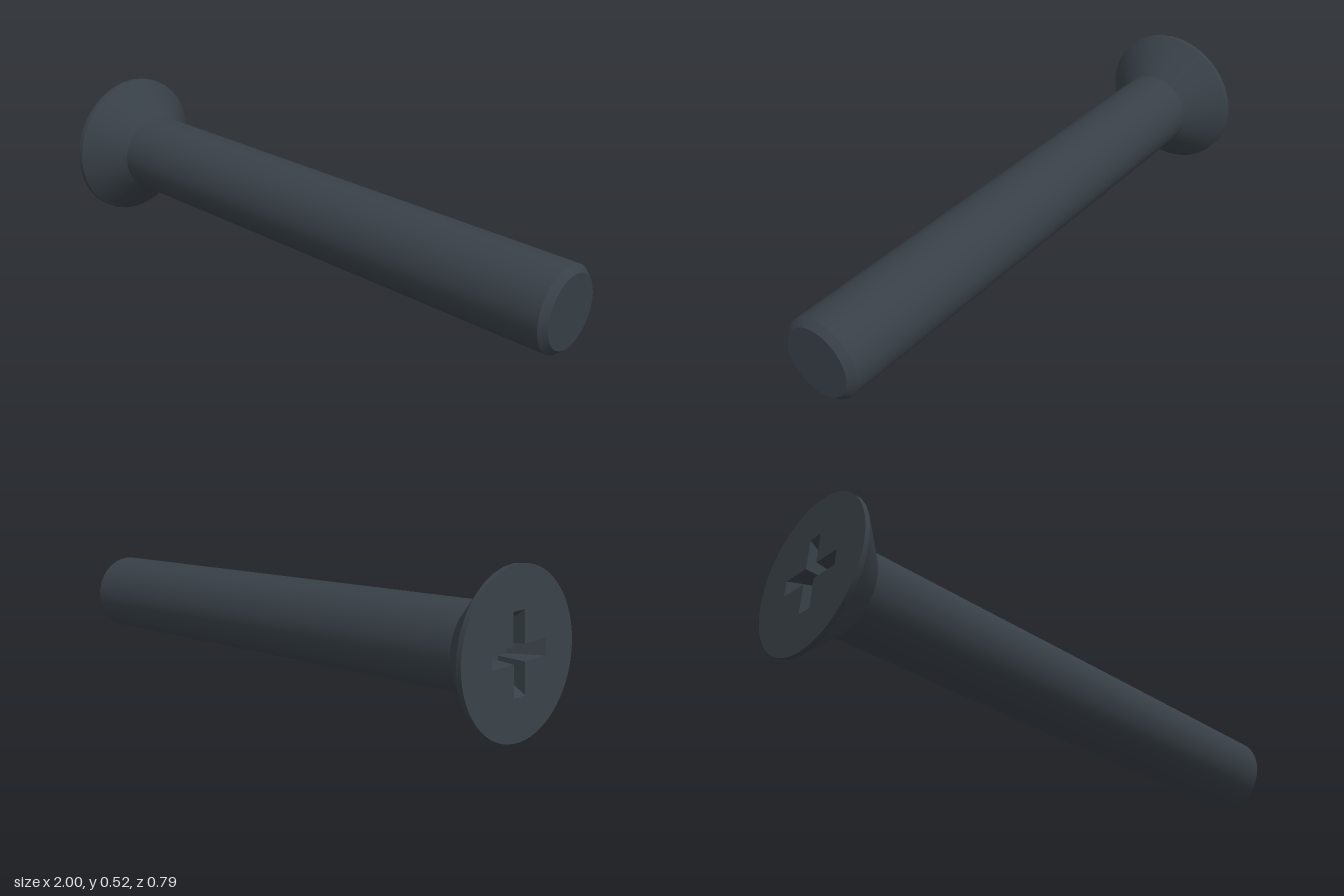
import * as THREE from 'three';
import { mergeGeometries, toCreasedNormals } from 'three/addons/utils/BufferGeometryUtils.js';

const SIDES = 32;
const HEAD_R = 0.258, SHAFT_R = 0.139, TIP_R = 0.118, LENGTH = 1.967;

// Outline of a cross with the given arm length and half width, counter-clockwise
function crossPoints(arm, half) {
  const points = [];
  for (let i = 0; i < 4; i++) {
    for (const [x, y] of [[arm, -half], [arm, half], [half, half]]) {
      points.push(new THREE.Vector2(x, y).rotateAround(new THREE.Vector2(), i * Math.PI / 2));
    }
  }
  return points;
}

// Tapered walls of the recess between its rim and its floor
function recessWalls(rim, floor, depth) {
  const pos = [];
  rim.forEach((a, i) => {
    const j = (i + 1) % rim.length;
    const b = rim[j], A = floor[i], B = floor[j];
    pos.push(a.x, a.y, 0, b.x, b.y, 0, B.x, B.y, -depth);
    pos.push(a.x, a.y, 0, B.x, B.y, -depth, A.x, A.y, -depth);
  });
  const geometry = new THREE.BufferGeometry();
  geometry.setAttribute('position', new THREE.Float32BufferAttribute(pos, 3));
  geometry.computeVertexNormals();
  return geometry;
}

// Solid of revolution with sharp profile corners
function turned(profile) {
  const points = profile.map(([r, y]) => new THREE.Vector2(r, y));
  return toCreasedNormals(new THREE.LatheGeometry(points, SIDES), Math.PI / 6);
}

export function createModel() {
  const steel = new THREE.MeshStandardMaterial({ color: 0x384047 });
  steel.name = 'darkSteel';

  const screw = new THREE.Group();
  screw.name = 'screw';
  const add = (name, geometry) => {
    const mesh = new THREE.Mesh(geometry, steel);
    mesh.name = name;
    screw.add(mesh);
  };

  // Countersunk head: thin rim, then a cone down to the shaft
  add('head', turned([[HEAD_R, 0], [HEAD_R, 0.017], [SHAFT_R, 0.136]]));

  // Plain shaft with a chamfered flat tip
  add('shaft', turned([[SHAFT_R, 0.136], [SHAFT_R, LENGTH - 0.022], [TIP_R, LENGTH], [0, LENGTH]]));

  // Flat head face with a cross-shaped opening
  const depth = 0.09;
  const rim = crossPoints(0.125, 0.026), floor = crossPoints(0.06, 0.02);
  const disc = new THREE.Shape().absarc(0, 0, HEAD_R, 0, Math.PI * 2, false);
  disc.holes.push(new THREE.Path(rim));
  add('headFace', new THREE.ShapeGeometry(disc, SIDES).rotateX(Math.PI / 2));

  // Driver recess
  const bottom = new THREE.ShapeGeometry(new THREE.Shape(floor)).toNonIndexed();
  bottom.deleteAttribute('uv');
  bottom.translate(0, 0, -depth);
  add('driverRecess', mergeGeometries([recessWalls(rim, floor, depth), bottom]).rotateX(Math.PI / 2));

  // Lay the screw down: its axis runs from the head to the tip
  const axis = new THREE.Vector3(1.922, -0.117, 0.402).normalize();
  const up = new THREE.Vector3(0, 1, 0).addScaledVector(axis, -axis.y).normalize();
  const side = new THREE.Vector3().crossVectors(up, axis);
  screw.quaternion.setFromRotationMatrix(new THREE.Matrix4().makeBasis(up, axis, side));
  screw.position.set(-0.946, 0.259, -0.14);

  const model = new THREE.Group();
  model.name = 'countersunkScrew';
  model.add(screw);
  return model;
}
